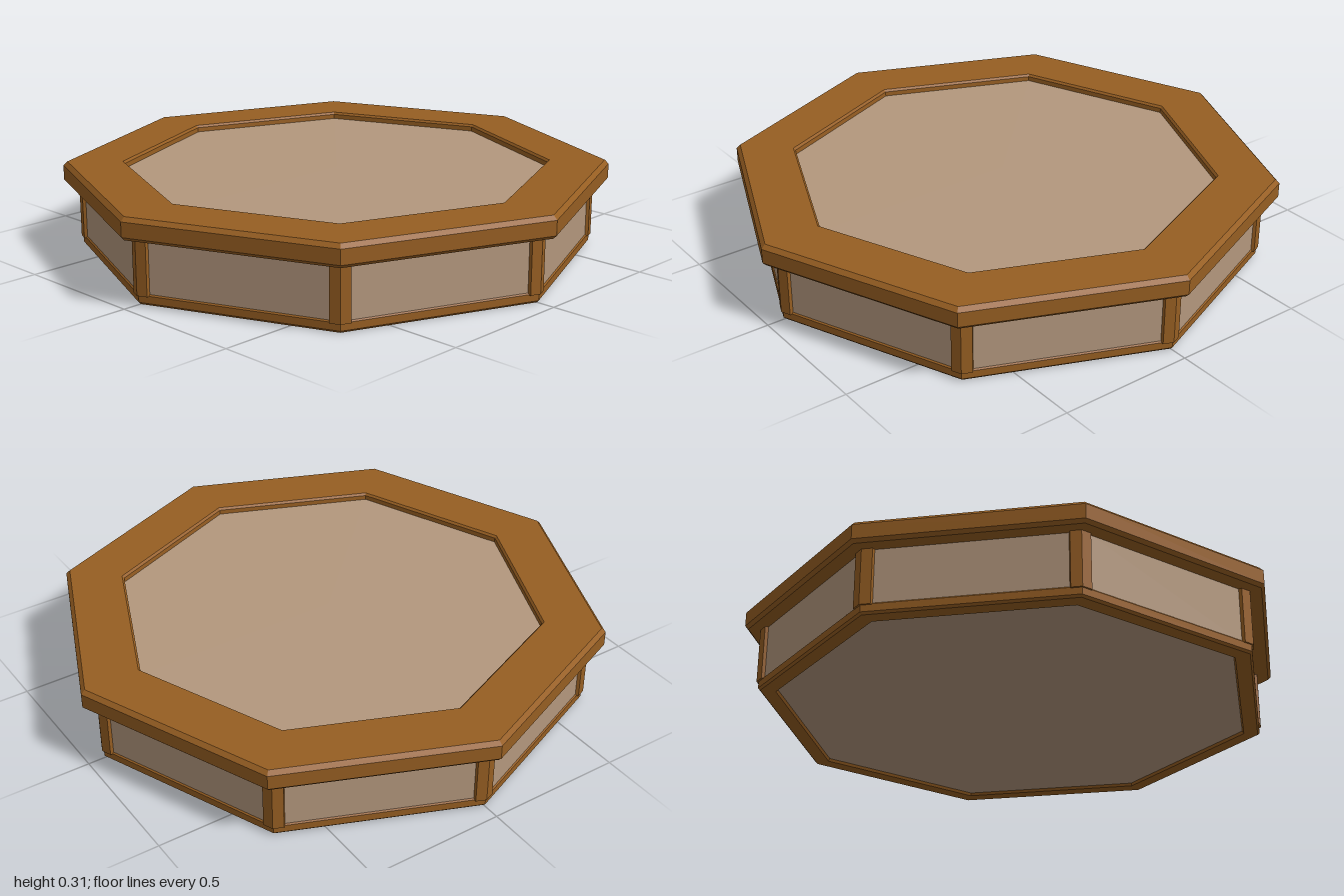
import * as THREE from 'three';

const SIDES = 8;

// Faceted octagonal ring or disc from a [radius, height] profile
function octagon(name, profile, material) {
  const points = profile.map(([r, y]) => new THREE.Vector2(r, y));
  const geometry = new THREE.LatheGeometry(points, SIDES).toNonIndexed();
  geometry.computeVertexNormals();
  const mesh = new THREE.Mesh(geometry, material);
  mesh.name = name;
  return mesh;
}

export function createModel() {
  const wood = new THREE.MeshStandardMaterial({ color: 0x965e22 });
  wood.name = 'brown wood';
  const hide = new THREE.MeshStandardMaterial({ color: 0xb3977d });
  hide.name = 'tan panel';

  const group = new THREE.Group();
  group.name = 'octagonalPlatform';

  // Overhanging rim with softened outer edges
  group.add(octagon('topRim', [
    [0.77, 0.235], [0.988, 0.235], [1, 0.247], [1, 0.3], [0.985, 0.315],
    [0.782, 0.315], [0.774, 0.307], [0.77, 0.235],
  ], wood));

  // Recessed top surface
  group.add(octagon('topPanel', [[0.79, 0.29], [0, 0.292]], hide));

  // Side walls and underside
  group.add(octagon('sidePanels', [[0.933, 0.02], [0.933, 0.25]], hide));
  group.add(octagon('bottomPanel', [[0, 0.01], [0.9, 0.01]], hide));

  // Trim around the foot
  group.add(octagon('baseTrim', [
    [0.868, 0.012], [0.875, 0], [0.93, 0], [0.938, 0.008], [0.938, 0.034],
    [0.932, 0.04], [0.868, 0.04], [0.868, 0.012],
  ], wood));

  // Corner posts, bent to follow the two neighbouring walls
  const outer = 0.945, half = 0.035;
  const side = outer - half * Math.tan(Math.PI / SIDES);
  const section = new THREE.Shape([
    [outer, 0], [side, half], [0.88, half], [0.88, -half], [side, -half],
  ].map(([x, y]) => new THREE.Vector2(x, y)));
  const postGeometry = new THREE.ExtrudeGeometry(section, { depth: 0.21, bevelEnabled: false });
  postGeometry.rotateX(-Math.PI / 2).translate(0, 0.032, 0);
  for (let i = 0; i < SIDES; i++) {
    const post = new THREE.Mesh(postGeometry, wood);
    post.name = `cornerPost${i + 1}`;
    post.rotation.y = (i / SIDES) * Math.PI * 2;
    group.add(post);
  }
  return group;
}
